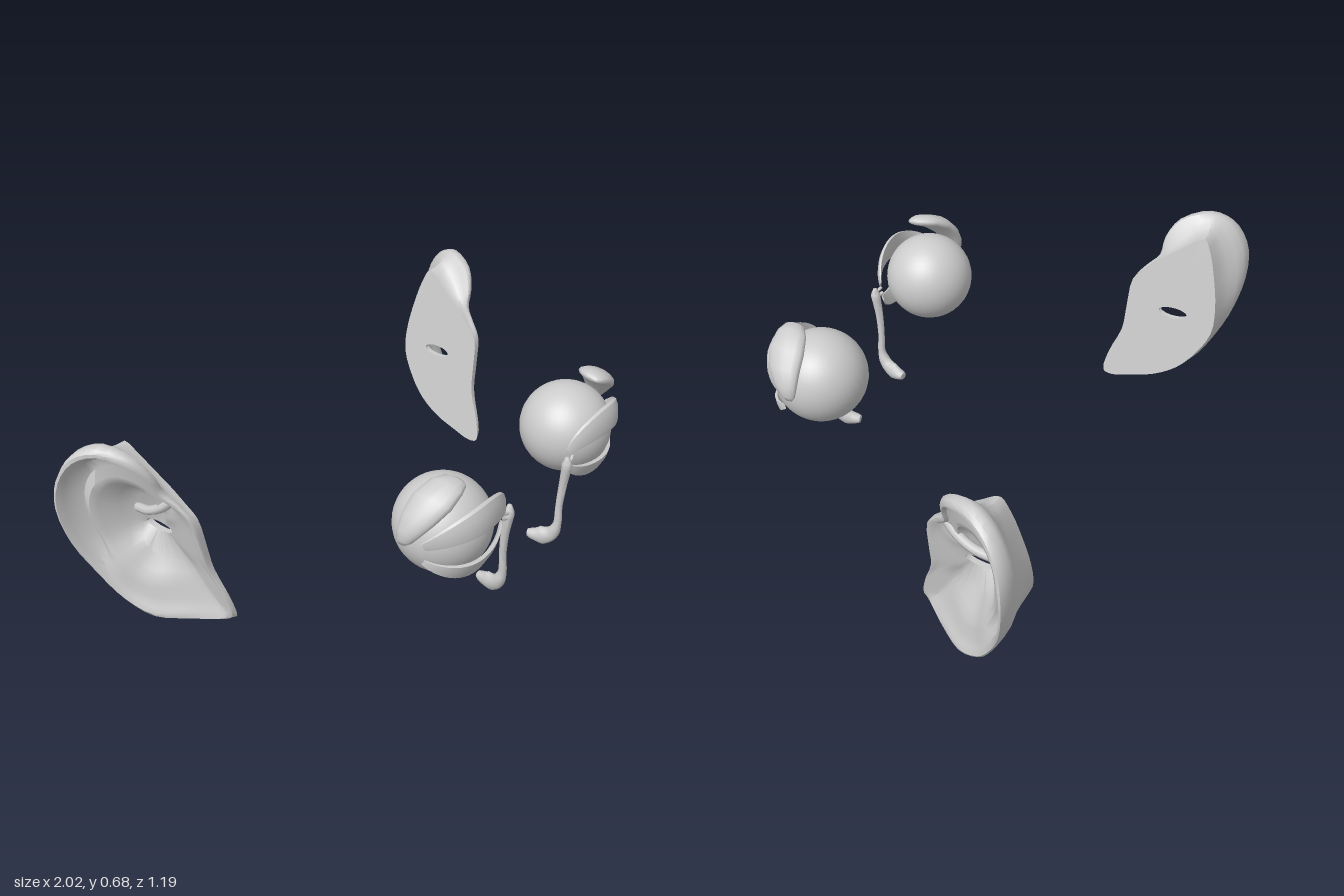
import * as THREE from 'three';
import { toCreasedNormals } from 'three/addons/utils/BufferGeometryUtils.js';

const V = (x, y, z) => new THREE.Vector3(x, y, z);
const mix = THREE.MathUtils.lerp;
const rad = THREE.MathUtils.degToRad;
const EYE = V(0.356, 0.46, 0.425);

// Skin through equal-length rings; either looped back on itself or capped at both ends
function loft(rings, looped, crease = 0.8) {
  const n = rings[0].length, m = rings.length;
  const pts = rings.flat();
  const tris = [];
  for (let i = 0; i < (looped ? m : m - 1); i++) {
    for (let j = 0; j < n; j++) {
      const a = i * n + j, b = i * n + (j + 1) % n;
      const c = ((i + 1) % m) * n + j, d = ((i + 1) % m) * n + (j + 1) % n;
      tris.push([a, b, d], [a, d, c]);
    }
  }
  if (!looped) {
    [0, m - 1].forEach((r, end) => {
      const mid = V(0, 0, 0);
      rings[r].forEach((p) => mid.addScaledVector(p, 1 / n));
      pts.push(mid);
      for (let j = 0; j < n; j++) {
        const a = r * n + j, b = r * n + (j + 1) % n;
        tris.push(end ? [a, b, pts.length - 1] : [b, a, pts.length - 1]);
      }
    });
  }
  // Turn all faces outward
  let volume = 0;
  for (const [a, b, c] of tris) volume += pts[a].dot(pts[b].clone().cross(pts[c]));
  const index = tris.flatMap(([a, b, c]) => (volume < 0 ? [a, c, b] : [a, b, c]));
  const g = new THREE.BufferGeometry().setFromPoints(pts);
  g.setIndex(index);
  return toCreasedNormals(g, crease);
}

// Reflected copy with corner order restored
function mirrorX(geometry) {
  const g = geometry.index ? geometry.toNonIndexed() : geometry.clone();
  for (const key of ['position', 'normal']) {
    const at = g.attributes[key];
    for (let i = 0; i < at.count; i += 3) {
      const p = [0, 2, 1].map((k) => V().fromBufferAttribute(at, i + k));
      p.forEach((q, k) => at.setXYZ(i + k, -q.x, q.y, q.z));
    }
  }
  return g;
}

// Crescent lid round the front of the eyeball, its nose end standing forward to meet the duct.
// section: elevation in degrees and radius; drop: how far the two ends hang
function eyelid(section, drop) {
  const rings = [];
  for (let i = 0; i <= 24; i++) {
    const deg = mix(-72, 72, i / 24), a = rad(deg);
    const forward = 0.065 * (Math.max(0, -deg) / 72) ** 2;
    rings.push(section.map(([el, radius]) => {
      const e = rad(el), r = mix(0.164, radius, Math.cos(a));
      return V(Math.sin(a), Math.cos(a) * Math.sin(e), Math.cos(a) * Math.cos(e))
        .multiplyScalar(r).add(EYE).add(V(0, -drop * (1 - Math.cos(a)), forward));
    }));
  }
  return loft(rings, false, 0.6);
}

// Curved tear gland lying over the upper outer side of the eye
function gland() {
  // angle from the top, back z, front z, half thickness
  const stations = [[7, 0.475, 0.515, 0.006], [10, 0.45, 0.528, 0.014], [20, 0.422, 0.537, 0.022],
    [38, 0.398, 0.535, 0.026], [55, 0.392, 0.51, 0.025], [70, 0.392, 0.475, 0.02],
    [79, 0.395, 0.45, 0.013], [83, 0.405, 0.43, 0.005]];
  return loft(stations.map(([deg, back, front, t]) => {
    const ring = [];
    for (let j = 0; j < 14; j++) {
      const q = (j / 14) * Math.PI * 2, a = rad(deg);
      const z = mix(back, front, 0.5 + 0.5 * Math.cos(q));
      const r = 0.197 + t * Math.sin(q) - 0.9 * (z - 0.43) ** 2;
      ring.push(V(EYE.x + r * Math.sin(a), EYE.y + r * Math.cos(a), z));
    }
    return ring;
  }), false, 1.2);
}

// Tear duct: a sac above, a thin stem and a swollen foot turning back
function duct() {
  const path = new THREE.CatmullRomCurve3([
    V(0.17, 0.468, 0.545), V(0.172, 0.44, 0.545), V(0.174, 0.36, 0.535), V(0.17, 0.27, 0.528),
    V(0.167, 0.2, 0.528), V(0.166, 0.155, 0.51), V(0.158, 0.135, 0.475), V(0.148, 0.132, 0.427)]);
  const radii = [0.007, 0.018, 0.014, 0.012, 0.014, 0.025, 0.034, 0.014];
  const rings = [];
  for (let i = 0; i <= 28; i++) {
    const t = i / 28, k = Math.min(6, Math.floor(t * 7));
    const r = mix(radii[k], radii[k + 1], t * 7 - k);
    const p = path.getPoint(t), d = path.getTangent(t);
    const side = V(1, 0, 0).addScaledVector(d, -d.x).normalize();
    const up = d.clone().cross(side);
    const ring = [];
    for (let j = 0; j < 10; j++) {
      const q = (j / 10) * Math.PI * 2;
      ring.push(p.clone().addScaledVector(side, Math.min(r, 0.019) * Math.cos(q)).addScaledVector(up, r * Math.sin(q)));
    }
    rings.push(ring);
  }
  return loft(rings, false, 1.2);
}

// Ear: flat inner plate, flaring body, rolled rim, hollow bowl and canal through the plate
function ear() {
  // rim z, y, x and matching plate z, y
  const outline = [
    [-0.155, 0.03, 0.7, -0.155, 0.02], [-0.166, 0.1, 0.715, -0.166, 0.1], [-0.207, 0.21, 0.745, -0.207, 0.21],
    [-0.213, 0.306, 0.765, -0.213, 0.306], [-0.223, 0.417, 0.787, -0.223, 0.417], [-0.261, 0.47, 0.805, -0.26, 0.46],
    [-0.3, 0.513, 0.83, -0.31, 0.51], [-0.306, 0.576, 0.855, -0.36, 0.55], [-0.347, 0.646, 0.9, -0.41, 0.59],
    [-0.443, 0.68, 0.945, -0.47, 0.63], [-0.522, 0.646, 0.978, -0.5, 0.58], [-0.576, 0.56, 1.003, -0.53, 0.48],
    [-0.592, 0.45, 1.01, -0.55, 0.38], [-0.573, 0.306, 0.985, -0.55, 0.28], [-0.522, 0.178, 0.94, -0.5, 0.18],
    [-0.452, 0.073, 0.9, -0.44, 0.11], [-0.363, 0.02, 0.86, -0.36, 0.06], [-0.267, 0.013, 0.79, -0.27, 0.03],
    [-0.188, 0.006, 0.72, -0.19, 0.01]];
  const N = 57, cz = -0.395, cy = 0.322;
  const plateX = (y, z) => 0.685 + 0.163 * y - 0.03 * (z + 0.16);
  const rim = new THREE.CatmullRomCurve3(outline.map(([z, y, x]) => V(x, y, z)), true);
  const plate = new THREE.CatmullRomCurve3(outline.map((o) => V(plateX(o[4], o[3]), o[4], o[3])), true);
  const make = (fn) => Array.from({ length: N }, (_, j) => fn(rim.getPoint(j / N), plate.getPoint(j / N)));

  // Ring between plate and rim
  const body = (t, u) => make((r, p) => V(mix(p.x, r.x, t), mix(p.y, r.y, u), mix(p.z, r.z, u)));
  // Ring pulled toward the canal, set at a share of the depth above the plate
  const inner = (s, depth, lobeDepth) => make((r) => {
    const y = mix(cy, r.y, s), z = mix(cz, r.z, s), base = plateX(y, z);
    const lobe = THREE.MathUtils.smoothstep(0.3 - r.y, 0, 0.2);
    const front = THREE.MathUtils.smoothstep(r.z, -0.34, -0.24);
    const top = mix(r.x, 0.69 + 0.75 * (-0.16 - z), 1 - s);
    const f = Math.max(mix(depth, lobeDepth, lobe), front * lobeDepth);
    return V(base + Math.max(0.016, f * (top - base)), y, z);
  });
  const canal = (lift) => make((r) => {
    const q = Math.atan2(r.y - cy, r.z - cz);
    const y = cy + 0.02 * Math.sin(q), z = cz + 0.055 * Math.cos(q);
    return V(plateX(y, z) + lift, y, z);
  });
  return loft([
    body(0, 0), body(0.25, 0.04), body(0.45, 0.25), body(0.58, 0.65), body(0.68, 0.95), body(0.78, 1),
    inner(0.985, 0.92, 0.97), inner(0.95, 1, 1), inner(0.915, 1, 0.98), inner(0.885, 0.9, 0.96),
    inner(0.86, 0.74, 0.93), inner(0.77, 0.65, 0.88), inner(0.66, 0.7, 0.85), inner(0.58, 0.64, 0.8),
    inner(0.48, 0.34, 0.65), inner(0.36, 0.18, 0.4), canal(0.02), canal(0)], true, 0.65);
}

// Smooth tube through points
const tube = (points, r) => new THREE.TubeGeometry(new THREE.CatmullRomCurve3(points), 12, r, 8);

export function createModel() {
  const model = new THREE.Group();
  const grey = new THREE.MeshStandardMaterial({ color: 0xcccccc });
  grey.name = 'plain grey';

  const parts = {
    Eyeball: new THREE.SphereGeometry(0.156, 36, 24).translate(EYE.x, EYE.y, EYE.z),
    UpperEyelid: eyelid([[14, 0.162], [14, 0.178], [20, 0.185], [32, 0.196], [39, 0.2], [42, 0.194], [36, 0.177], [24, 0.162]], 0.012),
    LowerEyelid: eyelid([[-25, 0.158], [-25, 0.17], [-33, 0.176], [-44, 0.182], [-46, 0.173], [-36, 0.158]], 0.02),
    TearGland: gland(),
    TearDuct: duct(),
    UpperTearCanal: tube([V(0.173, 0.45, 0.545), V(0.187, 0.447, 0.548), V(0.208, 0.455, 0.543)], 0.006),
    LowerTearCanal: tube([V(0.173, 0.43, 0.545), V(0.187, 0.427, 0.545), V(0.208, 0.435, 0.538)], 0.006),
    Ear: ear(),
    EarInnerFold: tube([V(0.79, 0.475, -0.29), V(0.8, 0.435, -0.335), V(0.802, 0.405, -0.39), V(0.79, 0.385, -0.455)], 0.016),
  };
  for (const [name, geometry] of Object.entries(parts)) {
    for (const side of ['left', 'right']) {
      const mesh = new THREE.Mesh(side === 'left' ? geometry : mirrorX(geometry), grey);
      mesh.name = side + name;
      model.add(mesh);
    }
  }
  return model;
}
